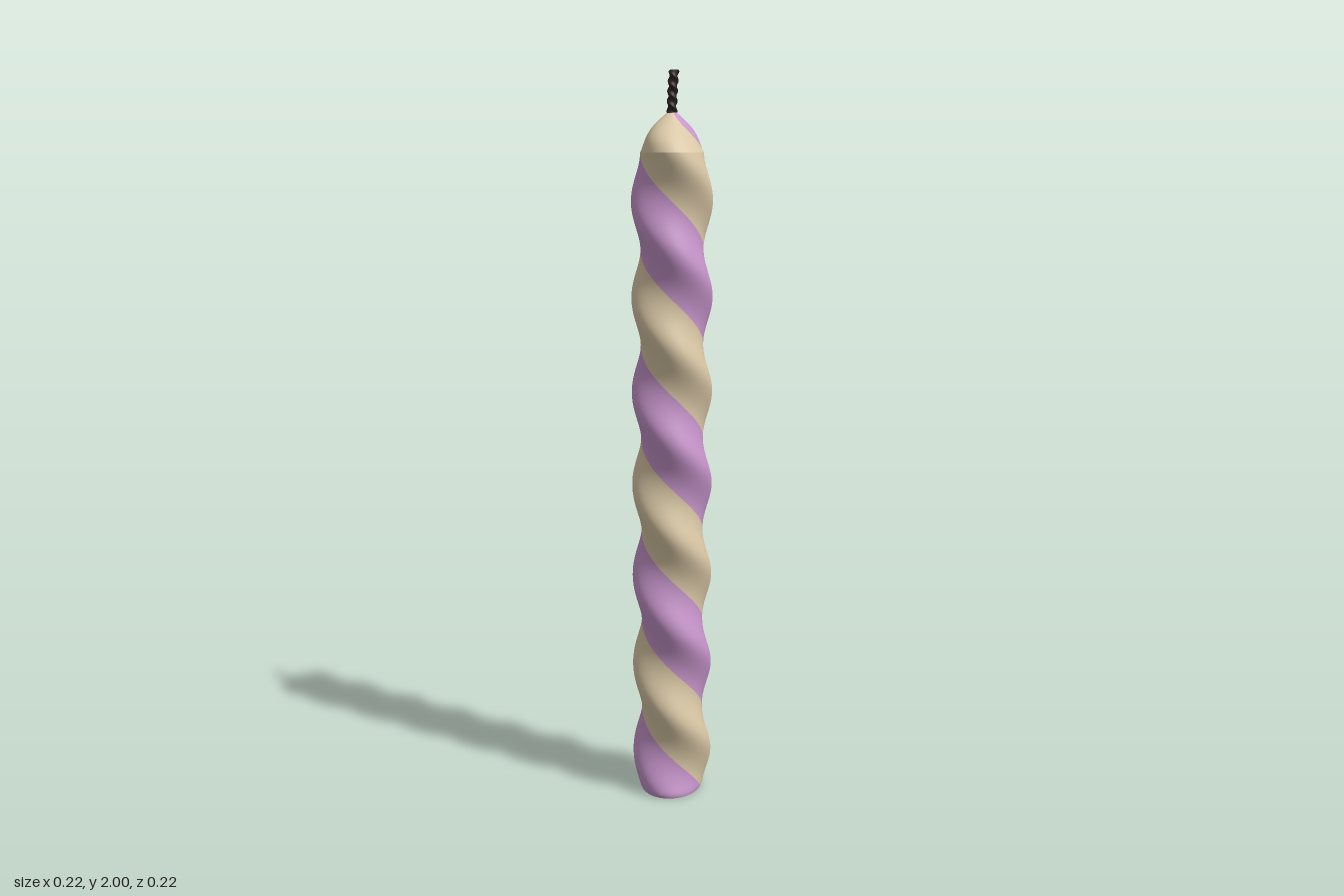
import * as THREE from 'three';

const SEGMENTS = 64;
const HALF_TURN = 0.258; // height of half a twist
const bodyTwist = (y) => (Math.PI * (y - 1.43)) / HALF_TURN;

// Skin over twisted oval rings [y, scale]; each half of the oval is its own material group.
function twistedGeometry(rings, a, b, twist, lean = () => 0) {
  const positions = [];
  for (const [y, s] of rings) {
    const t = twist(y);
    for (let i = 0; i < SEGMENTS; i++) {
      const phi = -Math.PI / 2 + (i / SEGMENTS) * Math.PI * 2;
      const u = a * s * Math.cos(phi);
      const v = b * s * Math.sin(phi);
      positions.push(
        u * Math.cos(t) - v * Math.sin(t) + lean(y), y,
        u * Math.sin(t) + v * Math.cos(t)
      );
    }
  }
  const geometry = new THREE.BufferGeometry();
  const indices = [];
  for (let half = 0; half < 2; half++) {
    const start = indices.length;
    for (let j = 0; j < rings.length - 1; j++) {
      for (let k = 0; k < SEGMENTS / 2; k++) {
        const i = half * (SEGMENTS / 2) + k;
        const p = j * SEGMENTS + i;
        const q = j * SEGMENTS + ((i + 1) % SEGMENTS);
        indices.push(p, p + SEGMENTS, q, q, p + SEGMENTS, q + SEGMENTS);
      }
    }
    geometry.addGroup(start, indices.length - start, half);
  }
  geometry.setAttribute('position', new THREE.Float32BufferAttribute(positions, 3));
  geometry.setIndex(indices);
  geometry.computeVertexNormals();
  return geometry;
}

// Evenly spaced rings between two heights, scaled by a rule.
const ringsBetween = (y0, y1, n, scale = () => 1) =>
  Array.from({ length: n + 1 }, (_, i) => {
    const y = y0 + ((y1 - y0) * i) / n;
    return [y, scale(y, i / n)];
  });

export function createModel() {
  const group = new THREE.Group();
  const purple = new THREE.MeshStandardMaterial({ color: 0xc795cb });
  purple.name = 'purple wax';
  const cream = new THREE.MeshStandardMaterial({ color: 0xdac8a6 });
  cream.name = 'cream wax';
  const black = new THREE.MeshStandardMaterial({ color: 0x2a2220 });
  black.name = 'wick black';

  const add = (name, geometry, material) => {
    const mesh = new THREE.Mesh(geometry, material);
    mesh.name = name;
    group.add(mesh);
  };
  const wax = [purple, cream];
  const A = 0.11;
  const B = 0.085;

  // Twisted body with a small rounded foot
  const bodyRings = [[0, 0.95], [0.004, 0.98], ...ringsBetween(0.012, 1.785, 200)];
  add('body', twistedGeometry(bodyRings, A, B, bodyTwist), wax);
  add('base', twistedGeometry([[0, 0], [0, 0.95]], A, B, bodyTwist), wax);

  // Tapered tip that keeps twisting
  const taper = new THREE.SplineCurve([
    [1.785, 1], [1.82, 0.8], [1.85, 0.55], [1.875, 0.28], [1.892, 0.09],
  ].map(([y, s]) => new THREE.Vector2(y, s)));
  const tipRings = [...taper.getPoints(28).map((p) => [p.x, p.y]), [1.894, 0]];
  add('tip', twistedGeometry(tipRings, A, B, bodyTwist), wax);

  // Braided wick, leaning slightly
  const wickTwist = (y) => (Math.PI * (y - 1.87)) / 0.026;
  const lean = (y) => 0.006 * Math.max(0, (y - 1.88) / 0.12) ** 2;
  const wickRings = [...ringsBetween(1.87, 1.996, 50), [2, 0.8]];
  add('wick', twistedGeometry(wickRings, 0.0145, 0.0105, wickTwist, lean), black);
  add('wickEnd', twistedGeometry([[2, 0.8], [2, 0]], 0.0145, 0.0105, wickTwist, lean), black);

  // Single-colour meshes need no material groups
  group.children.filter((m) => m.material === black).forEach((m) => m.geometry.clearGroups());
  return group;
}
